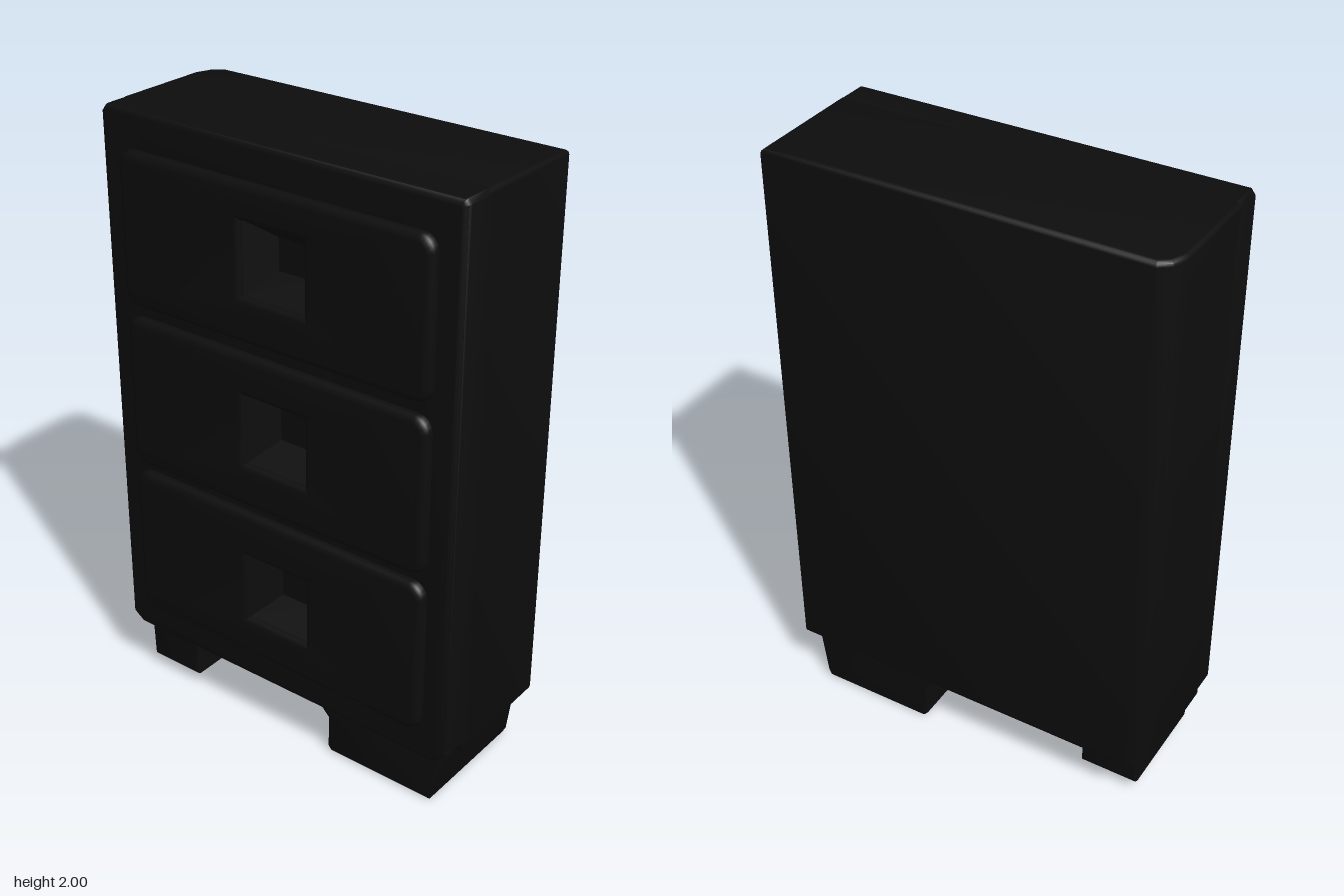
import * as THREE from 'three';
import { toCreasedNormals } from 'three/addons/utils/BufferGeometryUtils.js';

const DARK = new THREE.MeshStandardMaterial({ color: 0x0d0d0d });
const DARK_OPEN = new THREE.MeshStandardMaterial({ color: 0x0d0d0d, side: THREE.DoubleSide });

const PULL_X = 0.015;
const PULL_HALF = 0.115;
// each drawer: bottom, top, centre of its pull
const DRAWERS = [[0.3, 0.82, 0.55], [0.85, 1.36, 1.11], [1.4, 1.89, 1.66]];

const polygon = (pts) => new THREE.Shape(pts.map(([x, y]) => new THREE.Vector2(x, y)));

// square opening for a recessed pull
function pullHole(y) {
  const h = PULL_HALF;
  return new THREE.Path([[-h, -h], [-h, h], [h, h], [h, -h]]
    .map(([dx, dy]) => new THREE.Vector2(PULL_X + dx, y + dy)));
}

// softened slab between two depths, its outline kept at full size
function slab(shape, from, to, bevel) {
  const geo = new THREE.ExtrudeGeometry(shape, {
    depth: to - from - 2 * bevel, bevelEnabled: true, bevelThickness: bevel,
    bevelSize: bevel, bevelOffset: -bevel, bevelSegments: 3, curveSegments: 5,
  });
  geo.translate(0, 0, from + bevel);
  return toCreasedNormals(geo, 0.7);
}

function roundedRect(x0, y0, x1, y1, r) {
  const s = new THREE.Shape();
  s.absarc(x1 - r, y1 - r, r, 0, Math.PI / 2);
  s.absarc(x0 + r, y1 - r, r, Math.PI / 2, Math.PI);
  s.absarc(x0 + r, y0 + r, r, Math.PI, Math.PI * 1.5);
  s.absarc(x1 - r, y0 + r, r, Math.PI * 1.5, Math.PI * 2);
  return s;
}

export function createModel() {
  const group = new THREE.Group();
  const add = (name, geometry, material = DARK) => {
    const mesh = new THREE.Mesh(geometry, material);
    mesh.name = name;
    group.add(mesh);
    return mesh;
  };

  // carcass: plan outline with one cut back corner, raised upright
  const plan = polygon([[-0.645, -0.14], [0.642, -0.14], [0.637, 0.262],
    [-0.59, 0.262], [-0.625, 0.235], [-0.645, 0.18]]);
  const carcass = slab(plan, 0.188, 2, 0.015);
  carcass.rotateX(-Math.PI / 2);
  add('carcass', carcass);

  // front frame with openings behind the pulls
  const frame = polygon([[-0.6, 0.188], [0.6, 0.188], [0.642, 0.23], [0.642, 1.985],
    [0.63, 2], [-0.63, 2], [-0.645, 1.98], [-0.645, 0.22]]);
  DRAWERS.forEach(([, , y]) => frame.holes.push(pullHole(y)));
  add('frontFrame', slab(frame, 0.1, 0.235, 0.02));

  // drawer fronts and their tapered recessed pulls
  DRAWERS.forEach(([y0, y1, y], i) => {
    const front = roundedRect(-0.56, y0, 0.56, y1, 0.05);
    front.holes.push(pullHole(y));
    add(`drawerFront${i + 1}`, slab(front, 0.2, 0.265, 0.022));

    const r = PULL_HALF * Math.SQRT2;
    const recess = new THREE.LatheGeometry([[0, 0], [r * 0.45, 0], [r * 1.01, 0.085]]
      .map(([x, h]) => new THREE.Vector2(x, h)), 4, Math.PI / 4).toNonIndexed();
    recess.computeVertexNormals();
    recess.rotateX(Math.PI / 2);
    recess.translate(PULL_X, y, 0.16);
    add(`recessedPull${i + 1}`, recess, DARK_OPEN);
  });

  // two unequal feet, flaring into the underside
  const rightFoot = polygon([[-0.59, 0.04], [-0.39, 0.04], [-0.39, 0.16],
    [-0.35, 0.19], [-0.35, 0.22], [-0.61, 0.22], [-0.595, 0.16]]);
  add('rightFoot', slab(rightFoot, -0.18, 0.195, 0.015));
  const leftFoot = polygon([[0.18, 0], [0.565, 0], [0.575, 0.02], [0.595, 0.17],
    [0.61, 0.22], [0.11, 0.22], [0.11, 0.19], [0.168, 0.13], [0.168, 0.015]]);
  add('leftFoot', slab(leftFoot, -0.24, 0.195, 0.01));

  return group;
}
